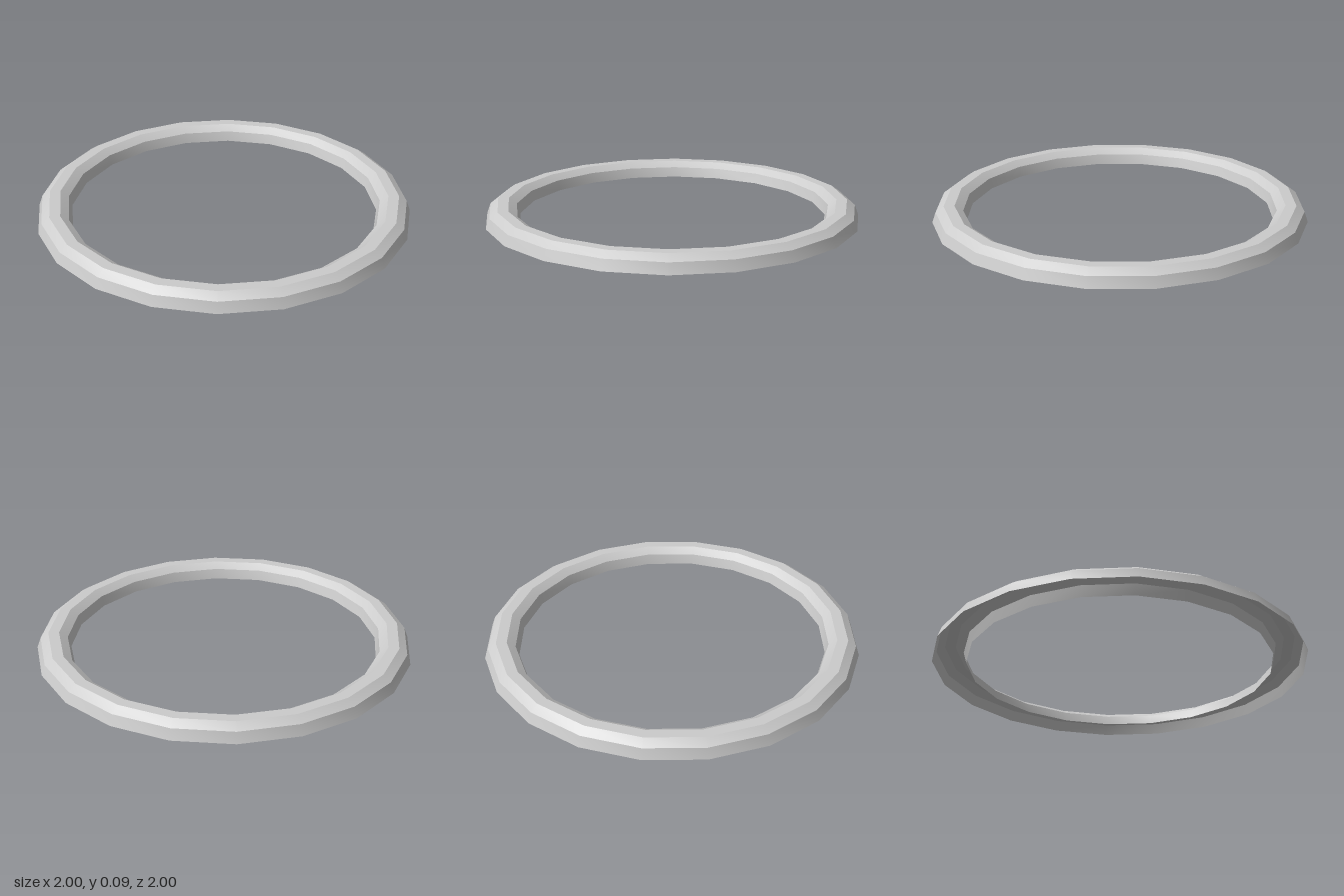
import * as THREE from 'three';
import { toCreasedNormals } from 'three/addons/utils/BufferGeometryUtils.js';

export function createModel() {
  const group = new THREE.Group();
  group.name = 'ringModel';

  // Bevelled channel section, open underneath: outer wall, top, inner wall
  const profile = [
    [1.0, 0], [0.98, 0.055], [0.937, 0.085],
    [0.88, 0.085], [0.836, 0.055], [0.82, 0],
  ].map(([r, y]) => new THREE.Vector2(r, y));

  // Twenty sides, smooth around the ring with sharp edges between the bands
  const geometry = toCreasedNormals(new THREE.LatheGeometry(profile, 20), 0.45);
  const material = new THREE.MeshStandardMaterial({ color: 0xcccccc, side: THREE.DoubleSide });

  const ring = new THREE.Mesh(geometry, material);
  ring.name = 'ring';
  group.add(ring);
  return group;
}
